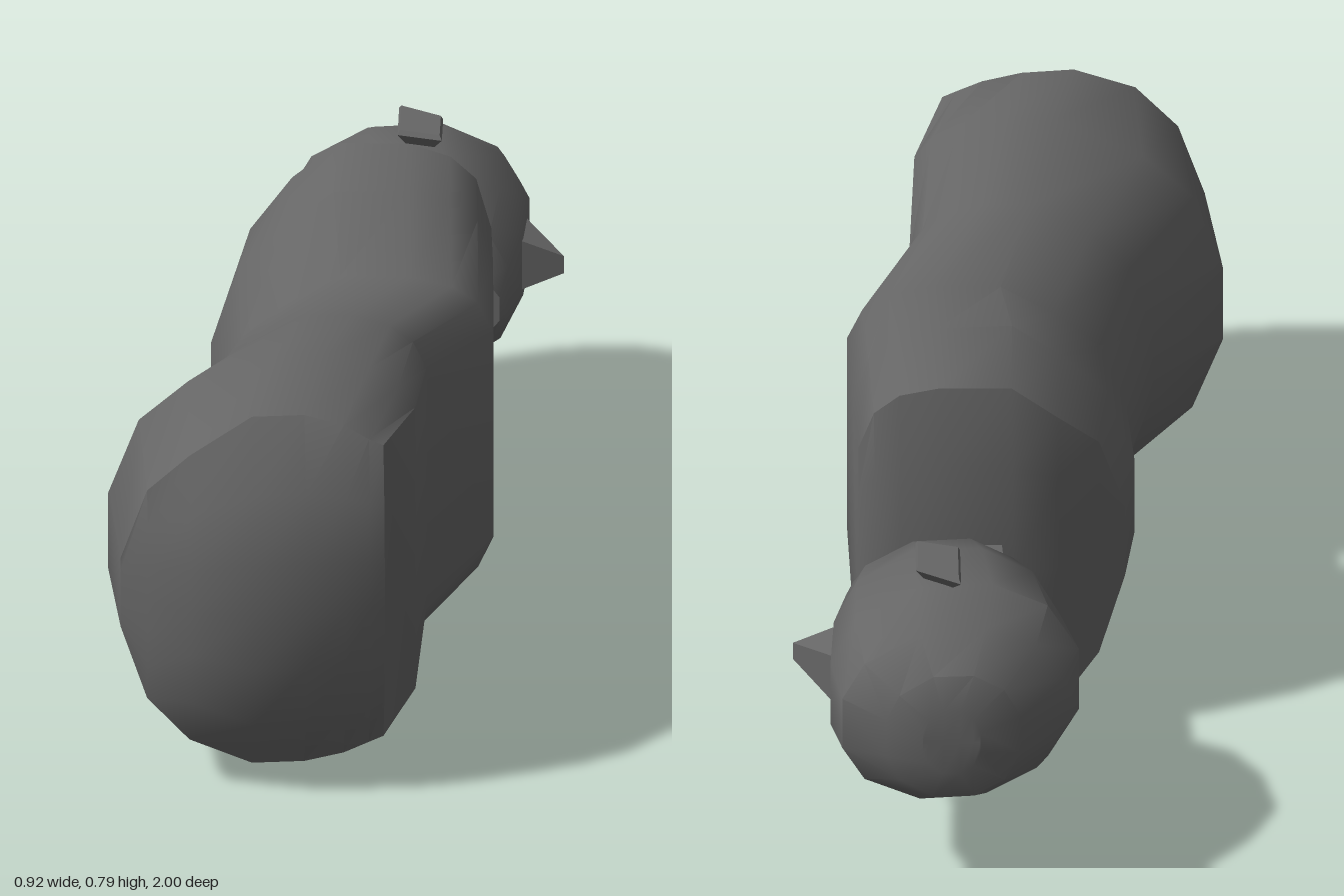
import * as THREE from 'three';
import { toCreasedNormals } from 'three/addons/utils/BufferGeometryUtils.js';
import { ConvexGeometry } from 'three/addons/geometries/ConvexGeometry.js';

const MID = 0.397; // height of the lengthwise axis
const material = new THREE.MeshStandardMaterial({ color: 0x666666 });

// Mirrors a half section (front to back) into a closed loop.
const closeLoop = half => [...half, ...half.map(([x, y, z]) => [x, -y, z]).reverse()];

// Skins equal closed loops, ordered by increasing z.
function loft(halves, crease) {
  const loops = halves.map(closeLoop);
  const n = loops[0].length;
  const positions = [], index = [];
  loops.forEach(loop => loop.forEach(([x, y, z]) => positions.push(x, y + MID, z)));
  for (let i = 0; i < loops.length - 1; i++) {
    for (let j = 0; j < n; j++) {
      const a = i * n + j, b = i * n + (j + 1) % n;
      index.push(a, b, b + n, a, b + n, a + n);
    }
  }
  const g = new THREE.BufferGeometry();
  g.setAttribute('position', new THREE.Float32BufferAttribute(positions, 3));
  g.setIndex(index);
  return toCreasedNormals(g, crease);
}

function part(name, geometry) {
  const mesh = new THREE.Mesh(geometry, material);
  mesh.name = name;
  return mesh;
}

// Fits a unit half section between back and front x; zAt gives z from (point index, u, y).
function section(unit, back, front, h, zAt) {
  return unit.map(([u, v], i) => {
    const y = v * h;
    return [(back + front) / 2 + u * (front - back) / 2, y, zAt(i, u, y)];
  });
}

// Linear tilt of a section from its back z to its front z.
const tilt = (zBack, zFront) => (i, u) => zBack + (zFront - zBack) * (u + 1) / 2;

// Torso: flat chest, rounded back, domed ends.
function torso() {
  // c: half width of the flat front, m: where the side starts to round towards the back
  const unit = (c, m) => [[1, c], [0.89, c * 0.16 + 0.74], [0.7, 0.945], [0.4, 1],
    [m, 1], [-0.48, 0.82], [-0.8, 0.6], [-1, 0.2]];
  const topZ = [-0.30, -0.34, -0.36, -0.38, -0.39, -0.37, -0.31, -0.28];
  const endZ = [0.95, 0.96, 0.975, 0.99, 0.995, 0.965, 0.90, 0.86];
  const top = s => section(unit(0.6, -0.13), -0.21, 0.305, 0.395 * s, (i, u, y) => topZ[i] + 0.04 * (y / 0.39) ** 3);
  const end = s => section(unit(0.84, 0), -0.445, 0.06, 0.365 * s, (i, u, y) => endZ[i] - 0.17 * (y / 0.39) ** 3);
  return loft([
    top(0), top(0.6), top(1),
    section(unit(0.6, -0.13), -0.24, 0.303, 0.395, tilt(-0.12, -0.12)),
    section(unit(0.65, -0.1), -0.24, 0.295, 0.33, tilt(0.11, 0.15)),
    section(unit(0.7, 0), -0.31, 0.158, 0.36, tilt(0.36, 0.39)),
    section(unit(0.75, 0.09), -0.46, 0.128, 0.395, tilt(0.57, 0.67)),
    end(1), end(0.66), end(0.3), end(0),
  ], 0.7);
}

// Head: faceted egg with a narrow chin; taper slims the face side.
function head() {
  const unit = t => [[1, 0.3], [0.8, 0.7], [0.3, 1], [-0.3, 1], [-0.75, 0.75], [-1, 0.3]]
    .map(([u, v]) => [u, v * (1 - t * u)]);
  // back x, front x, half height, back z, front z, taper
  const rows = [
    [0.12, 0.23, 0, -1.0, -0.99, 0],
    [0.12, 0.23, 0.07, -1.0, -0.99, 0],
    [0.04, 0.30, 0.135, -0.975, -0.97, 0],
    [-0.05, 0.38, 0.185, -0.87, -0.91, 0],
    [-0.085, 0.395, 0.227, -0.78, -0.80, 0],
    [-0.06, 0.378, 0.227, -0.66, -0.65, 0],
    [-0.02, 0.345, 0.18, -0.57, -0.52, 0.1],
    [0.04, 0.325, 0.105, -0.50, -0.435, 0.2],
    [0.04, 0.325, 0, -0.50, -0.435, 0],
  ];
  return loft(rows.map(([b, f, h, zb, zf, t]) => section(unit(t), b, f, h, tilt(zb, zf))), 0.7);
}

const hull = pts => new ConvexGeometry(pts.map(p => new THREE.Vector3(...p)));

export function createModel() {
  const model = new THREE.Group();
  model.name = 'lyingBust';
  model.add(part('torso', torso()), part('head', head()));

  // Neck
  const neck = part('neck', new THREE.BoxGeometry(0.14, 0.13, 0.22));
  neck.position.set(0.105, MID, -0.46);
  model.add(neck);

  // Nose: wedge widening into the face
  const nosePoints = [];
  for (const s of [-1, 1]) {
    nosePoints.push([0.375, MID + s * 0.057, -0.765], [0.36, MID + s * 0.057, -0.638],
      [0.456, MID + s * 0.018, -0.638]);
  }
  model.add(part('nose', hull(nosePoints)));

  // Ear: thin flared diamond plate on the upper side
  const rim = [[0.145, -0.825], [0.228, -0.768], [0.222, -0.668], [0.138, -0.698]];
  const cx = 0.183, cz = -0.74;
  const earPoints = [];
  for (const [y, s] of [[0.62, 0.6], [0.648, 1], [0.657, 0.9]]) {
    rim.forEach(([x, z]) => earPoints.push([cx + (x - cx) * s, y, cz + (z - cz) * s]));
  }
  model.add(part('ear', hull(earPoints)));

  return model;
}
